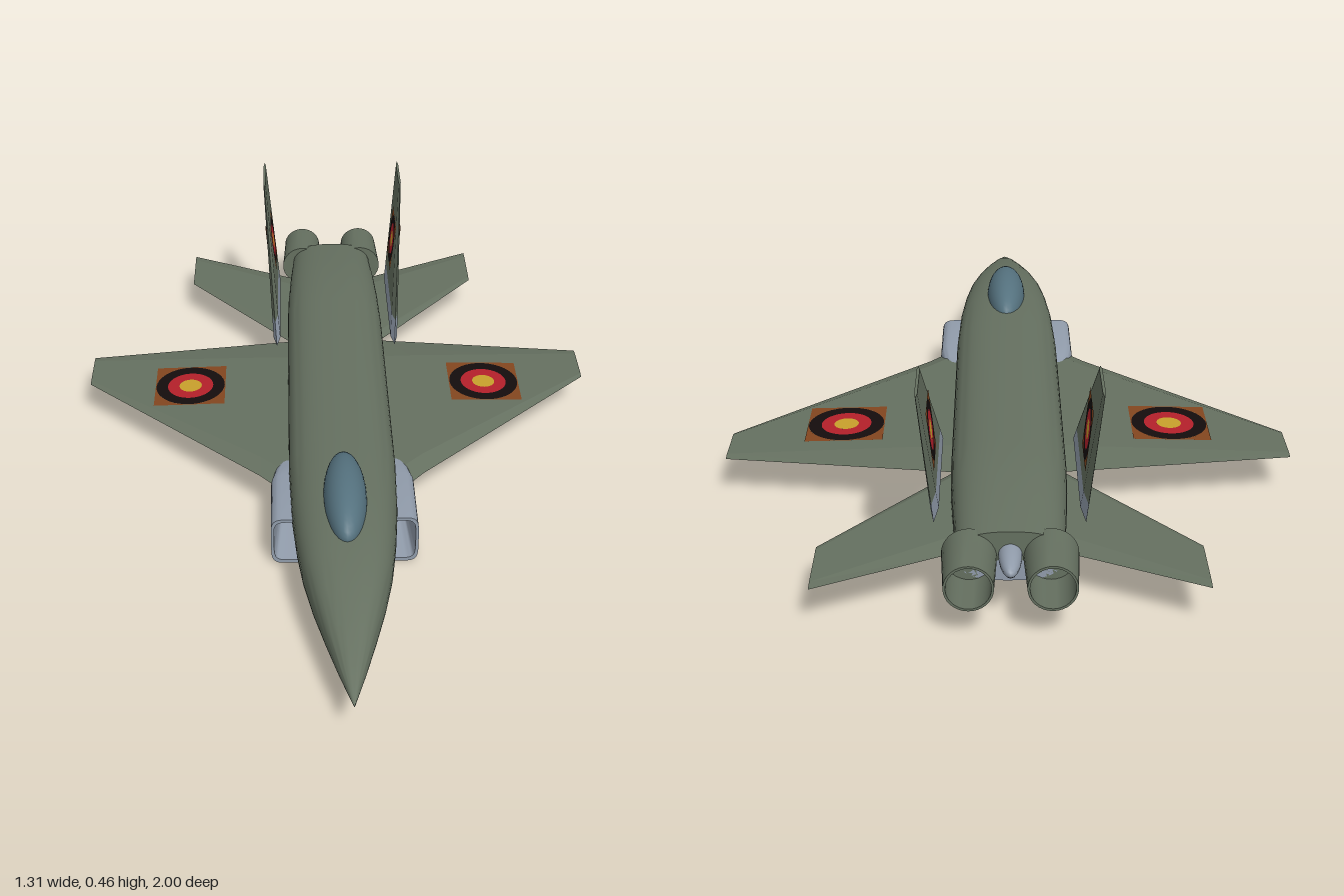
import * as THREE from 'three';
import { toCreasedNormals } from 'three/addons/utils/BufferGeometryUtils.js';

const V = (x, y, z) => new THREE.Vector3(x, y, z);

function paint(name, color) {
  const m = new THREE.MeshStandardMaterial({ color, side: THREE.DoubleSide });
  m.name = name;
  return m;
}

// Skin over a row of equal-length point rings
function loft(rings, crease = 0.6) {
  const n = rings[0].length, index = [];
  for (let i = 0; i < rings.length - 1; i++) {
    for (let j = 0; j < n - 1; j++) {
      const a = i * n + j, b = a + n;
      index.push(a, b, a + 1, b, b + 1, a + 1);
    }
  }
  const geo = new THREE.BufferGeometry().setFromPoints(rings.flat());
  geo.setIndex(index);
  geo.computeVertexNormals();
  return toCreasedNormals(geo, crease);
}

// Point on a rounded-box outline
function superPoint(t, cx, cy, a, b, z, n) {
  const f = (v) => Math.sign(v) * Math.abs(v) ** (2 / n);
  return V(cx + a * f(Math.cos(t)), cy + b * f(Math.sin(t)), z);
}

export function createModel() {
  const model = new THREE.Group();
  const green = paint('greenPaint', 0x657060);
  const grey = paint('greyPaint', 0x919cab);
  const glass = paint('canopyGlass', 0x55727f);
  const brown = paint('brownPaint', 0x83461f);
  const black = paint('blackPaint', 0x140d0d);
  const red = paint('redPaint', 0xb4202a);
  const yellow = paint('yellowPaint', 0xc8a02c);

  function add(name, geo, mat, parent = model) {
    const mesh = new THREE.Mesh(geo, mat);
    mesh.name = name;
    parent.add(mesh);
    return mesh;
  }

  // Fuselage: z, half width, top, bottom, height of the paint split
  const hull = [
    [0.995, 0.001, 0.101, 0.099, 0.1], [0.9, 0.029, 0.131, 0.08, 0.094],
    [0.8, 0.056, 0.157, 0.064, 0.088], [0.7, 0.081, 0.179, 0.051, 0.086],
    [0.6, 0.101, 0.195, 0.041, 0.085], [0.5, 0.114, 0.205, 0.034, 0.085],
    [0.38, 0.124, 0.21, 0.03, 0.085], [0.2, 0.13, 0.21, 0.03, 0.085],
    [-0.5, 0.13, 0.21, 0.03, 0.085], [-0.62, 0.127, 0.208, 0.036, 0.085],
    [-0.75, 0.12, 0.198, 0.051, 0.088], [-0.88, 0.11, 0.183, 0.07, 0.092],
    [-0.88, 0.001, 0.127, 0.125, 0.1255],
  ];
  function hullSkin(upper) {
    return loft(hull.map(([z, w, top, bottom, split]) => {
      const c = (top + bottom) / 2, b = (top - bottom) / 2, n = 2.6;
      const k = THREE.MathUtils.clamp((c - split) / b, 0, 1);
      const a = Math.asin(k ** (n / 2));
      const from = upper ? -a : Math.PI + a, to = upper ? Math.PI + a : 2 * Math.PI - a;
      return Array.from({ length: 29 }, (_, i) =>
        superPoint(from + (to - from) * i / 28, 0, c, w, b, z, n));
    }));
  }
  add('upperFuselage', hullSkin(true), green);
  add('lowerFuselage', hullSkin(false), grey);

  // Canopy and tail cone
  const canopy = add('canopy', new THREE.SphereGeometry(1, 32, 20), glass);
  canopy.scale.set(0.05, 0.06, 0.165);
  canopy.position.set(0, 0.199, 0.41);
  const cone = add('tailCone', new THREE.SphereGeometry(1, 20, 14), grey);
  cone.scale.set(0.025, 0.025, 0.095);
  cone.position.set(0, 0.13, -0.87);

  // Painted target marking lying on a surface
  function roundel(name, pos, normal, size) {
    const g = new THREE.Group(), r = size / 2;
    g.name = name;
    const square = new THREE.Shape([
      new THREE.Vector2(-r, -r), new THREE.Vector2(r, -r),
      new THREE.Vector2(r, r), new THREE.Vector2(-r, r)]);
    square.holes.push(new THREE.Path().absarc(0, 0, r * 0.98, 0, Math.PI * 2, true));
    add('markingCorners', new THREE.ShapeGeometry(square, 24), brown, g);
    add('markingOuterRing', new THREE.RingGeometry(r * 0.65, r * 0.98, 40), black, g);
    add('markingMiddleRing', new THREE.RingGeometry(r * 0.32, r * 0.65, 40), red, g);
    add('markingCentre', new THREE.CircleGeometry(r * 0.32, 32), yellow, g);
    normal.normalize();
    g.position.copy(pos).addScaledVector(normal, 0.0015);
    g.lookAt(g.position.clone().add(normal));
    model.add(g);
  }

  // Flat-sided aerofoil outline on one face: lead and trail points, offset
  const profile = ({ lead, trail, h }, dir, side) =>
    [[0, 0], [0.1, 1], [0.85, 1], [1, 0]].map(([t, k]) =>
      lead.clone().lerp(trail, t).addScaledVector(dir, side * h * k));
  function panel(name, stations, dir, matA, matB) {
    const a = stations.map((s) => profile(s, dir, 1));
    const b = stations.map((s) => profile(s, dir, -1));
    const end = a.length - 1;
    add(name + 'FaceA', loft(a, 0.02), matA);
    add(name + 'FaceB', loft(b, 0.02), matB);
    add(name + 'Tip', loft([a[end], b[end]]), matA);
    add(name + 'Root', loft([a[0], b[0]]), matB);
  }

  const up = V(0, 1, 0), out = V(1, 0, 0);
  for (const s of [1, -1]) {
    const side = s > 0 ? 'left' : 'right';

    // Main wing: x, leading z, trailing z
    const wingH = (x) => 0.016 - 0.0225 * (x - 0.1);
    panel(side + 'Wing', [[0.1, 0.3, -0.459], [0.2, 0.182, -0.446], [0.655, -0.25, -0.385]]
      .map(([x, l, t]) => ({ lead: V(s * x, 0.101, l), trail: V(s * x, 0.101, t), h: wingH(x) })),
    up, green, grey);
    for (const f of [1, -1]) {
      roundel(side + 'WingMarking', V(s * 0.388, 0.101 + f * wingH(0.388), -0.22),
        V(s * 0.0225, f, 0), 0.184);
    }

    // Tailplane
    panel(side + 'Tailplane', [[0.09, -0.415, -0.81, 0.011], [0.405, -0.795, -0.965, 0.003]]
      .map(([x, l, t, h]) => ({ lead: V(s * x, 0.101, l), trail: V(s * x, 0.101, t), h })),
    up, green, grey);

    // Canted fin with a grey foot
    const finX = (y) => 0.159 + (y - 0.155) * 0.094;
    const finH = (y) => 0.009 - (y - 0.155) * 0.019;
    const fin = [[0.155, -0.345, -0.79], [0.2, -0.394, -0.798], [0.465, -0.685, -0.845]]
      .map(([y, l, t]) => ({ lead: V(s * finX(y), y, l), trail: V(s * finX(y), y, t), h: finH(y) }));
    panel(side + 'FinFoot', fin.slice(0, 2), out, grey, grey);
    panel(side + 'Fin', fin.slice(1), out, green, green);
    for (const f of [1, -1]) {
      roundel(side + 'FinMarking', V(s * finX(0.31) + f * finH(0.31), 0.31, -0.665),
        V(f, 0.019 - f * s * 0.094, 0), 0.134);
    }

    // Hollow air intake: z, inner x, outer x, bottom, top, from duct to lip to rear fairing
    const duct = [
      [0.1, 0.1, 0.101, 0.065, 0.066], [0.1, 0.085, 0.14, 0.045, 0.1],
      [0.4, 0.074, 0.167, 0.012, 0.122], [0.4, 0.066, 0.174, 0.003, 0.13],
      [0.22, 0.066, 0.174, 0.003, 0.13], [0.17, 0.066, 0.165, 0.009, 0.122],
      [0.1, 0.066, 0.145, 0.03, 0.11], [0.02, 0.07, 0.125, 0.055, 0.1],
      [0.02, 0.09, 0.091, 0.075, 0.076],
    ];
    add(side + 'Intake', loft(duct.map(([z, x0, x1, y0, y1]) =>
      Array.from({ length: 33 }, (_, i) => superPoint(i / 32 * Math.PI * 2,
        s * (x0 + x1) / 2, (y0 + y1) / 2, (x1 - x0) / 2, (y1 - y0) / 2, z, 5)))), grey);

    // Engine nozzle, open at the rear
    const nozzle = add(side + 'Nozzle', toCreasedNormals(new THREE.LatheGeometry(
      [[0, 0.02], [0.05, 0.02], [0.046, 0.14], [0.051, 0.14], [0.058, 0], [0, 0]]
        .map(([r, y]) => new THREE.Vector2(r, y)), 32), 0.6), green);
    nozzle.rotation.x = -Math.PI / 2;
    nozzle.position.set(s * 0.084, 0.122, -0.86);
  }
  return model;
}
